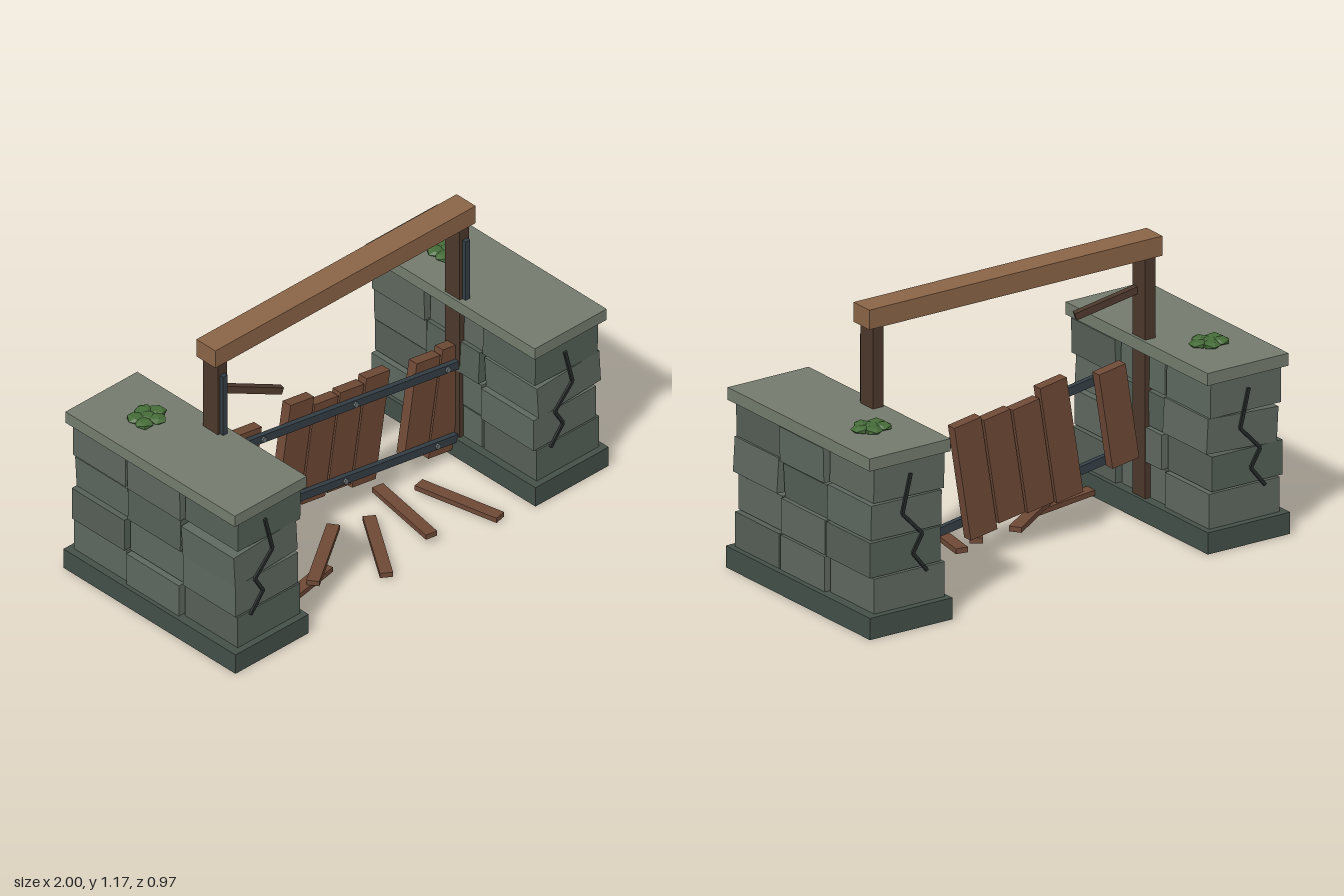
import * as THREE from 'three';

const mat = (color) => new THREE.MeshStandardMaterial({ color, flatShading: true });
const M = {
  block: mat(0x5e685f), blockDark: mat(0x555f57), plinth: mat(0x444f48), cap: mat(0x737b6d),
  crack: mat(0x252b29), moss: mat(0x456b38), beam: mat(0x8a6446), post: mat(0x4c382c),
  plank: mat(0x6e4936), iron: mat(0x343e46), bolt: mat(0x6c7476),
};

function box(parent, name, w, h, d, x, y, z, material) {
  const m = new THREE.Mesh(new THREE.BoxGeometry(w, h, d), material);
  m.name = name;
  m.position.set(x, y, z);
  parent.add(m);
  return m;
}

// Box whose long axis runs between two points
function strut(parent, name, a, b, h, d, material) {
  const dir = b.clone().sub(a);
  const mid = a.clone().add(b).multiplyScalar(0.5);
  const m = box(parent, name, dir.length(), h, d, mid.x, mid.y, mid.z, material);
  m.quaternion.setFromUnitVectors(new THREE.Vector3(1, 0, 0), dir.normalize());
  return m;
}

// Stone pier: plinth, coursed blocks, cap slab, cracks and moss
function pier(name, x, seed) {
  const g = new THREE.Group();
  g.name = name;
  g.position.x = x;
  box(g, 'plinth', 0.392, 0.09, 0.97, 0, 0.045, 0, M.plinth);
  box(g, 'capSlab', 0.385, 0.052, 0.955, 0, 0.724, 0, M.cap);

  const tilts = [0, 0, 0.06, -0.025];
  for (let row = 0; row < 4; row++) {
    for (let col = 0; col < 3; col++) {
      const jitter = Math.sin(seed + row * 2.3 + col * 4.1);
      const b = box(g, 'stoneBlock', 0.335, 0.145, 0.296,
        jitter * 0.012, 0.163 + row * 0.152, (1 - col) * 0.309, (row + col) % 3 ? M.block : M.blockDark);
      b.rotation.z = tilts[row] * (col === 0 ? 1 : jitter);
    }
  }

  // Zigzag cracks on the front and back faces
  const path = [[-0.015, 0.64], [0.025, 0.48], [-0.07, 0.38], [-0.025, 0.305], [-0.093, 0.22]];
  for (const z of [0.46, -0.46]) {
    for (let i = 0; i < path.length - 1; i++) {
      strut(g, 'crack', new THREE.Vector3(...path[i], z), new THREE.Vector3(...path[i + 1], z), 0.014, 0.012, M.crack);
    }
  }

  // Moss clump of flattened blobs
  const moss = new THREE.Group();
  moss.name = 'mossClump';
  moss.position.set(0.005, 0.764, -0.222);
  for (let i = 0; i < 6; i++) {
    const a = i * Math.PI * 0.4;
    const r = i === 5 ? 0 : 0.046;
    const blob = new THREE.Mesh(new THREE.IcosahedronGeometry(0.04, 0), M.moss);
    blob.name = 'mossBlob';
    blob.position.set(Math.cos(a) * r * 1.1, 0, Math.sin(a) * r * 0.85);
    blob.scale.y = 0.4;
    blob.rotation.y = a;
    moss.add(blob);
  }
  g.add(moss);
  return g;
}

// Sagging gate panel with two slats missing
function gatePanel() {
  const g = new THREE.Group();
  g.name = 'gatePanel';
  g.position.set(0.034, 0.357, 0);
  g.rotation.z = -0.159;
  // slot, length, vertical shift
  const slats = [[-4, 0.41, 0.01], [-2, 0.5, 0.014], [-1, 0.45, 0], [0, 0.45, 0.01],
    [1, 0.49, 0.01], [3, 0.42, 0.025], [4, 0.49, 0.01]];
  for (const [slot, len, dy] of slats) {
    box(g, 'gateSlat', 0.128, len, 0.045, slot * 0.138, dy, -0.005, M.plank);
  }
  for (const y of [0.172, -0.172]) {
    box(g, 'gateRail', 1.22, 0.036, 0.022, 0.006, y, 0.028, M.iron);
    for (const x of [-0.5, 0, 0.5]) {
      const bolt = new THREE.Mesh(new THREE.CylinderGeometry(0.012, 0.012, 0.012, 8), M.bolt);
      bolt.name = 'railBolt';
      bolt.rotation.x = Math.PI / 2;
      bolt.position.set(x + 0.006, y, 0.042);
      g.add(bolt);
    }
  }
  return g;
}

export function createModel() {
  const model = new THREE.Group();
  model.name = 'ruinedGate';
  model.add(pier('rightPier', -0.804, 1), pier('leftPier', 0.804, 2.7), gatePanel());

  // Timber frame with iron straps
  for (const s of [-1, 1]) {
    box(model, 'gatePost', 0.05, 1.01, 0.084, s * 0.648, 0.585, 0, M.post);
    box(model, 'postStrap', 0.024, 0.33, 0.018, s * 0.65, 0.865, 0.051, M.iron);
  }
  box(model, 'topBeam', 1.395, 0.082, 0.107, 0, 1.13, 0, M.beam);
  strut(model, 'brokenBrace', new THREE.Vector3(-0.635, 0.945, 0.02),
    new THREE.Vector3(-0.39, 0.858, 0.102), 0.03, 0.028, M.post);

  // Fallen planks: x, y, z, length, turn in degrees
  const fallen = [[-0.45, 0.02, 0.272, 0.36, 10.5], [-0.25, 0.042, 0.19, 0.385, 34.5],
    [-0.037, 0.02, 0.275, 0.385, 56.5], [0.177, 0.042, 0.2, 0.38, 80], [0.4, 0.02, 0.275, 0.385, 102]];
  for (const [x, y, z, len, deg] of fallen) {
    box(model, 'fallenPlank', len, 0.022, 0.052, x, y, z, M.plank).rotation.y = THREE.MathUtils.degToRad(deg);
  }
  return model;
}
